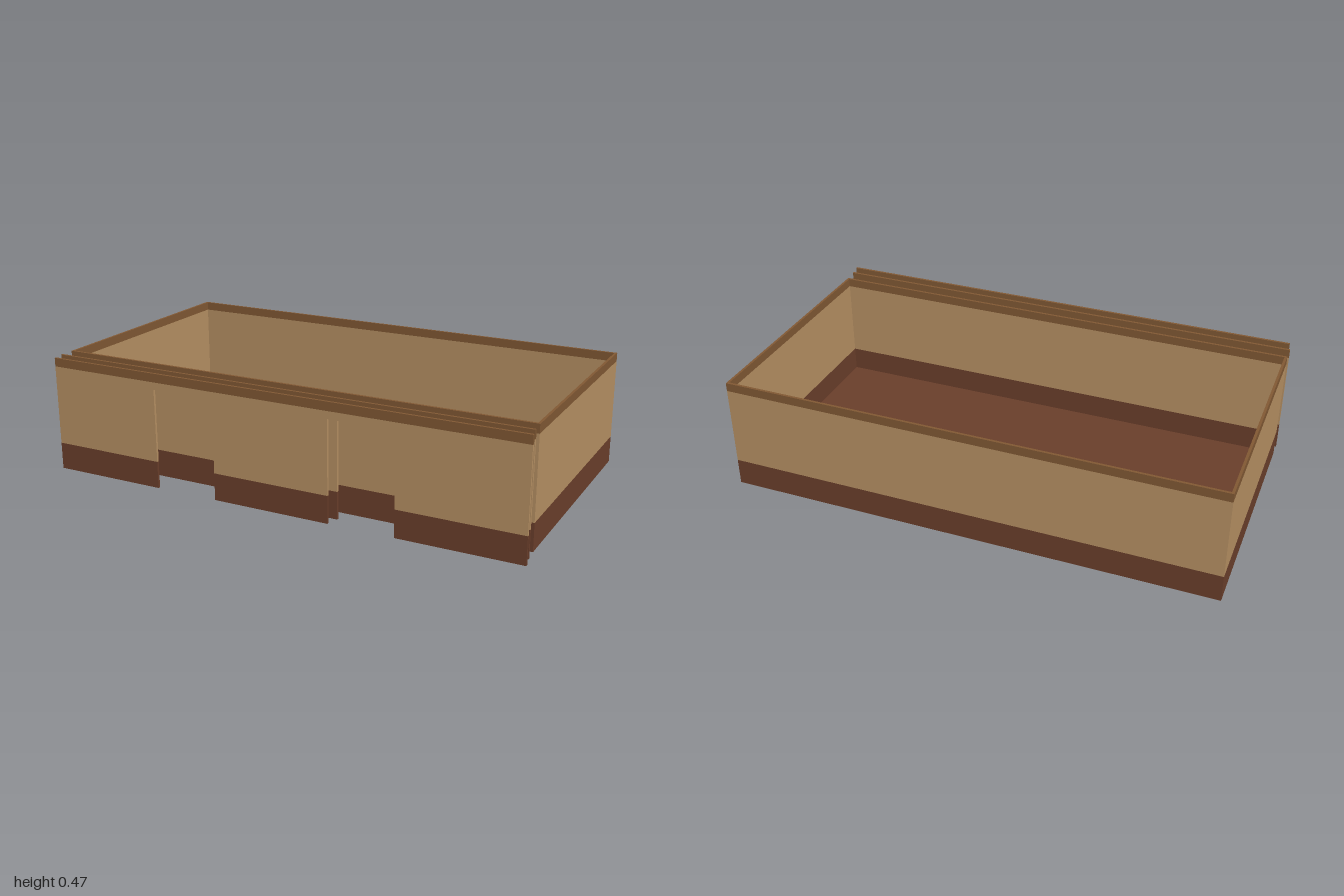
import * as THREE from 'three';

const base = new THREE.MeshStandardMaterial({ color: 0x6b3f2b });
base.name = 'dark brown';
const tan = new THREE.MeshStandardMaterial({ color: 0xb89264 });
tan.name = 'tan';
const trim = new THREE.MeshStandardMaterial({ color: 0x825934 });
trim.name = 'trim brown';

const H = 0.47, T = 0.01, DOOR_TOP = 0.405;
// Horizontal paint bands, split at the door head
const BANDS = [
  ['skirting', 0, 0.11, base],
  ['wallFace', 0.11, DOOR_TOP, tan],
  ['wallHead', DOOR_TOP, 0.435, tan],
  ['topTrim', 0.435, H, trim],
];

function slab(parent, name, mat, x0, x1, y0, y1, z0, z1) {
  const mesh = new THREE.Mesh(new THREE.BoxGeometry(x1 - x0, y1 - y0, z1 - z0), mat);
  mesh.position.set((x0 + x1) / 2, (y0 + y1) / 2, (z0 + z1) / 2);
  mesh.name = name;
  parent.add(mesh);
}

// A banded wall, with optional door openings given as [x0, x1]
function wall(name, x0, x1, z0, z1, doors = []) {
  const group = new THREE.Group();
  group.name = name;
  for (const [band, y0, y1, mat] of BANDS) {
    const gaps = y0 < DOOR_TOP ? doors : [];
    let start = x0;
    for (const [a, b] of [...gaps, [x1, x1]]) {
      slab(group, band, mat, start, a, y0, y1, z0, z1);
      start = b;
    }
  }
  return group;
}

export function createModel() {
  const model = new THREE.Group();
  model.name = 'openRoom';
  const L = -1, R = 0.985, B = -0.555, F = 0.44;

  // Open-topped room
  slab(model, 'floor', base, L + T, R - T, 0, T, B + T, F - T);
  model.add(
    wall('backWall', L, R, B, B + T),
    wall('frontWall', L, R, F - T, F),
    wall('rightWall', L, L + T, B + T, F - T),
    wall('leftWall', R - T, R, B + T, F - T),
  );

  // Free-standing panels with doorways
  model.add(
    wall('innerDoorPanel', -1, 0.99, 0.494, 0.504, [[-0.62, -0.257], [0.255, 0.62]]),
    wall('outerDoorPanel', -0.99, 1, 0.545, 0.555, [[-0.512, -0.247], [0.241, 0.509]]),
  );
  return model;
}
